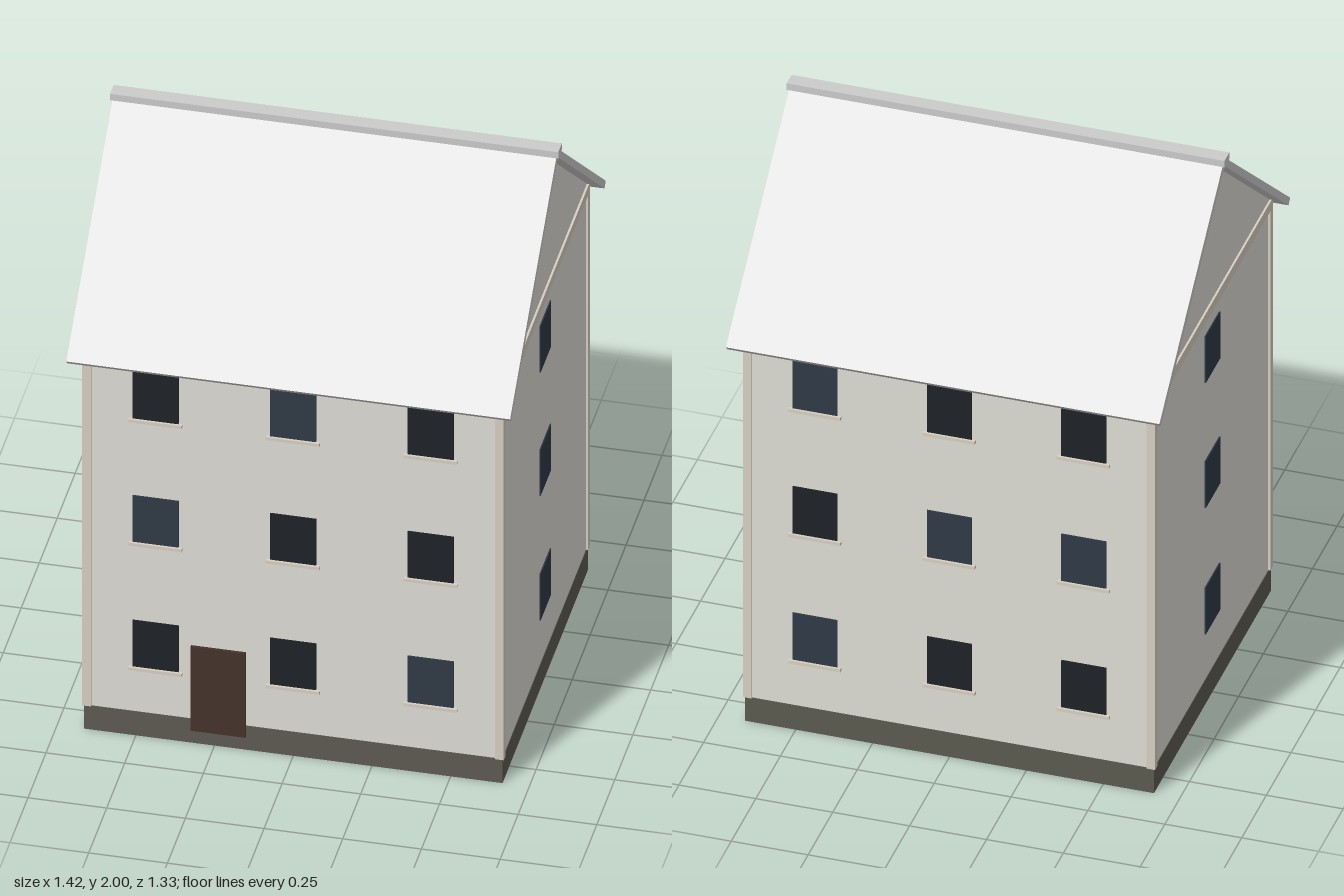
import * as THREE from 'three';

const material = (color, flatShading = true) => new THREE.MeshStandardMaterial({ color, flatShading });

export function createModel() {
  const house = new THREE.Group();
  house.name = 'house';
  const mats = {
    wall: material(0xdedcd4), trim: material(0xd8cfc2), base: material(0x5c5a50),
    roof: material(0xcccccc), door: material(0x44322a),
    dark: material(0x1e2329), pale: material(0x303a46),
  };

  const add = (name, geometry, mat, parent = house) => {
    const mesh = new THREE.Mesh(geometry, mats[mat]);
    mesh.name = name;
    parent.add(mesh);
    return mesh;
  };
  // Box given by its limits on each axis
  const box = (name, mat, [x0, x1], [y0, y1], [z0, z1], parent) =>
    add(name, new THREE.BoxGeometry(x1 - x0, y1 - y0, z1 - z0)
      .translate((x0 + x1) / 2, (y0 + y1) / 2, (z0 + z1) / 2), mat, parent);
  // End profile (z, y) extruded along the length of the house
  const alongX = (name, mat, points, length) => {
    const shape = new THREE.Shape(points.map(([z, y]) => new THREE.Vector2(z, y)));
    const geometry = new THREE.ExtrudeGeometry(shape, { depth: length, bevelEnabled: false });
    return add(name, geometry.translate(0, 0, -length / 2).rotateY(Math.PI / 2), mat);
  };

  // Plinth and walls with gables
  box('plinth', 'base', [-0.665, 0.665], [0, 0.09], [-0.595, 0.595]);
  alongX('walls', 'wall',
    [[-0.593, 0.09], [0.593, 0.09], [0.593, 1.455], [0, 1.967], [-0.593, 1.455]], 1.326);

  // Corner boards and the band under the eaves
  for (const sx of [-1, 1]) for (const sz of [-1, 1]) {
    const board = box('cornerBoard', 'trim', [-0.014, 0.014], [0.09, 1.425], [-0.014, 0.014]);
    board.position.set(sx * 0.656, 0, sz * 0.586);
  }
  box('eavesBand', 'trim', [-0.67, 0.67], [1.425, 1.46], [-0.6, 0.6]);

  // Roof slabs and ridge cap
  for (const s of [-1, 1]) {
    const profile = [[0, 1.963], [s * 0.648, 1.407], [s * 0.665, 1.425], [0, 1.995]];
    alongX(s > 0 ? 'roofFront' : 'roofBack', 'roof', profile, 1.41);
  }
  box('ridgeCap', 'roof', [-0.712, 0.712], [1.976, 2], [-0.025, 0.025]);

  // Front door
  box('door', 'door', [-0.325, -0.15], [0.05, 0.366], [0.585, 0.603]);

  // Windows: one letter per window, top row first, seen from outside
  const rows = [1.282, 0.817, 0.347];
  const addWindow = (parent, x, y, z, mat, sill) => {
    box('windowPane', mat, [x - 0.073, x + 0.073], [y - 0.087, y + 0.087], [z - 0.02, z + 0.004], parent);
    if (sill) box('windowSill', 'trim', [x - 0.085, x + 0.085], [y - 0.098, y - 0.087], [z - 0.02, z + 0.012], parent);
  };
  const sides = [
    { name: 'frontWindows', turn: 0, z: 0.593, xs: [-0.437, 0, 0.437], tones: ['dpd', 'pdd', 'ddp'], sill: true },
    { name: 'backWindows', turn: Math.PI, z: 0.593, xs: [-0.437, 0, 0.437], tones: ['pdd', 'dpp', 'pdd'], sill: true },
    { name: 'leftWindows', turn: Math.PI / 2, z: 0.663, xs: [0], tones: ['p', 'p', 'p'], sill: false },
    { name: 'rightWindows', turn: -Math.PI / 2, z: 0.663, xs: [0], tones: ['p', 'p', 'p'], sill: false },
  ];
  for (const { name, turn, z, xs, tones, sill } of sides) {
    const group = new THREE.Group();
    group.name = name;
    group.rotation.y = turn;
    rows.forEach((y, r) => xs.forEach((x, c) =>
      addWindow(group, x, y, z, tones[r][c] === 'p' ? 'pale' : 'dark', sill)));
    house.add(group);
  }
  return house;
}
